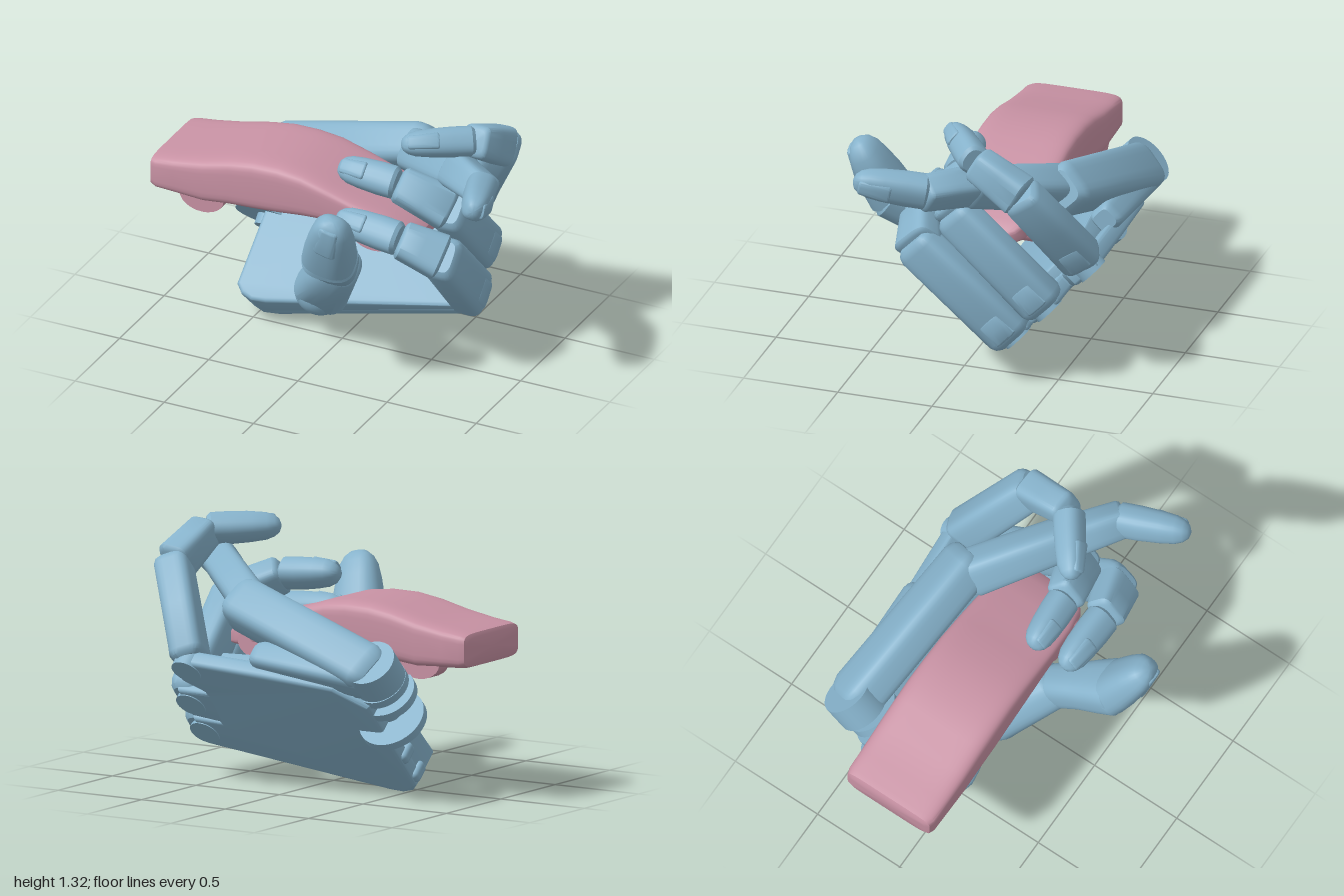
import * as THREE from 'three';
import { toCreasedNormals } from 'three/addons/utils/BufferGeometryUtils.js';
import { RoundedBoxGeometry } from 'three/addons/geometries/RoundedBoxGeometry.js';

const V = (x, y, z) => new THREE.Vector3(x, y, z);
const blue = new THREE.MeshStandardMaterial({ color: 0x86b2cb });
const pink = new THREE.MeshStandardMaterial({ color: 0xc892a4 });
const ACROSS = V(0, 0.725, -0.689); // direction across the palm

function part(parent, name, geometry, material = blue) {
  const mesh = new THREE.Mesh(geometry, material);
  mesh.name = name;
  parent.add(mesh);
  return mesh;
}

// Skin over superellipse rings {c, u, v}, with u x v along the path
function loft(rings, e, n = 28) {
  const pos = [], idx = [];
  const bend = k => Math.sign(k) * Math.abs(k) ** (2 / e);
  for (const { c, u, v } of rings)
    for (let j = 0; j < n; j++) {
      const a = (j + 0.5) / n * Math.PI * 2;
      const p = c.clone().addScaledVector(u, bend(Math.cos(a))).addScaledVector(v, bend(Math.sin(a)));
      pos.push(p.x, p.y, p.z);
    }
  const last = rings.length - 1, c0 = rings.length * n;
  pos.push(...rings[0].c.toArray(), ...rings[last].c.toArray());
  for (let j = 0; j < n; j++) {
    const k = (j + 1) % n;
    for (let i = 0; i < last; i++) {
      const a = i * n + j, b = i * n + k;
      idx.push(a, b, b + n, a, b + n, a + n);
    }
    idx.push(c0, k, j, c0 + 1, last * n + j, last * n + k);
  }
  const g = new THREE.BufferGeometry();
  g.setAttribute('position', new THREE.Float32BufferAttribute(pos, 3));
  g.setIndex(idx);
  return toCreasedNormals(g, 0.6);
}

const BLOCK = [[0, 0.72], [0.025, 0.9], [0.07, 1], [0.5, 1], [0.93, 1], [0.975, 0.9], [1, 0.72]];
const TIP = [[0, 0.8], [0.05, 1], [0.3, 1.03], [0.6, 0.99], [0.8, 0.9], [0.91, 0.72], [0.975, 0.46], [1, 0.16]];

// One finger bone from a to b; wa/ta and wb/tb are half width and half thickness
function bone(parent, name, a, b, [wa, ta, wb, tb], side = ACROSS, profile = BLOCK, e = 4) {
  const d = b.clone().sub(a).normalize();
  const u = side.clone().addScaledVector(d, -side.dot(d)).normalize();
  const v = d.clone().cross(u);
  const rings = profile.map(([s, k]) => ({
    c: a.clone().lerp(b, s),
    u: u.clone().multiplyScalar(k * (wa + (wb - wa) * s)),
    v: v.clone().multiplyScalar(k * (ta + (tb - ta) * s)),
  }));
  part(parent, name, loft(rings, e));
  return { v, d };
}

function fingertip(parent, a, b, size, side = ACROSS) {
  const { v } = bone(parent, 'fingertip', a, b, size, side, TIP, 2.6);
  const [, ta, wb, tb] = size;
  const n0 = a.clone().lerp(b, 0.5).addScaledVector(v, -(ta + tb) * 0.45);
  const n1 = a.clone().lerp(b, 0.93).addScaledVector(v, -tb * 0.58);
  bone(parent, 'nail', n0, n1, [wb * 0.62, 0.02, wb * 0.5, 0.02], side, BLOCK, 3);
}

function buildCar(parent) {
  const car = new THREE.Group();
  car.name = 'car';
  parent.add(car);
  // x, bottom, top, half width
  const stations = [
    [-1, 0.73, 0.86, 0.225], [-0.99, 0.71, 0.88, 0.25], [-0.96, 0.7, 0.887, 0.26], [-0.86, 0.695, 0.9, 0.262],
    [-0.7, 0.685, 0.93, 0.265], [-0.55, 0.7, 0.967, 0.265], [-0.42, 0.705, 0.988, 0.265], [-0.28, 0.715, 0.99, 0.262],
    [-0.15, 0.73, 0.975, 0.26], [0, 0.74, 0.93, 0.255], [0.12, 0.735, 0.89, 0.25], [0.28, 0.7, 0.85, 0.24],
    [0.4, 0.69, 0.8, 0.215], [0.45, 0.69, 0.77, 0.18], [0.47, 0.7, 0.75, 0.14],
  ];
  part(car, 'carBody', loft(stations.map(([x, lo, hi, w]) => ({
    c: V(x, (lo + hi) / 2, -0.075), u: V(0, (hi - lo) / 2, 0), v: V(0, 0, w),
  })), 6, 40), pink);
  for (const [x, y] of [[-0.71, 0.715], [0.25, 0.725]])
    for (const s of [1, -1]) {
      const wheel = part(car, 'wheel', new THREE.CylinderGeometry(0.085, 0.085, 0.09, 24), pink);
      wheel.rotation.x = Math.PI / 2;
      wheel.scale.x = 1.45;
      wheel.position.set(x, y, -0.075 + s * 0.19);
    }
}

// Palm in its own frame: x along the hand, y across it, z out of the palm
function buildPalm(parent) {
  const palm = new THREE.Group();
  palm.name = 'palm';
  palm.position.set(0, 0.015, -0.1);
  palm.rotation.x = -0.76;
  parent.add(palm);
  const outline = pts => new THREE.Shape(pts.map(p => new THREE.Vector2(...p)));
  const bevel = { bevelSize: 0.02, bevelThickness: 0.02, bevelSegments: 3 };

  // Back plate with slots between the knuckles
  const plate = new THREE.ExtrudeGeometry(outline([
    [-0.55, 0.04], [-0.52, 0.005], [-0.47, -0.012], [-0.4, -0.005], [0.58, 0.22], [0.58, 0.39], [0.42, 0.38], [0.42, 0.42],
    [0.57, 0.45], [0.57, 0.62], [0.4, 0.62], [0.4, 0.66], [0.5, 0.74], [0.48, 0.87], [0, 0.83], [-0.4, 0.78], [-0.55, 0.66],
  ]), { depth: 0.05, ...bevel });
  part(palm, 'backPlate', toCreasedNormals(plate.translate(0, 0, 0.02), 0.6));

  // Palm pad, thinner towards the fingers
  const pad = new THREE.ExtrudeGeometry(outline([
    [-0.55, 0.04], [-0.52, 0.005], [-0.47, -0.012], [-0.4, -0.005], [0.54, 0.215], [0.52, 0.38], [0.4, 0.4], [0.4, 0.6],
    [0.3, 0.78], [-0.35, 0.74], [-0.52, 0.64],
  ]), { depth: 0.14, ...bevel });
  pad.translate(0, 0, 0.06);
  const p = pad.attributes.position;
  for (let i = 0; i < p.count; i++)
    p.setZ(i, 0.04 + (p.getZ(i) - 0.04) * (0.82 - 0.5 * p.getX(i)));
  part(palm, 'palmPad', toCreasedNormals(pad, 0.6));

  // Rounded knuckle lugs
  for (const [x, y] of [[0.57, 0.305], [0.55, 0.535], [0.45, 0.82]]) {
    const lug = part(palm, 'knuckleLug', new THREE.CylinderGeometry(0.08, 0.08, 0.09, 24));
    lug.rotation.x = Math.PI / 2;
    lug.position.set(x, y, 0.04);
  }
  // Wrist hinge discs and lugs
  for (const [y, z, r] of [[0.45, 0.1, 0.175], [0.58, 0.16, 0.15], [0.67, 0.16, 0.14]])
    part(palm, 'wristDisc', new THREE.CylinderGeometry(r, r, 0.045, 40)).position.set(-0.575, y, z);
  part(palm, 'wristPin', new THREE.CylinderGeometry(0.06, 0.06, 0.4, 20)).position.set(-0.56, 0.57, 0.13);
  for (const y of [0.07, 0.22])
    part(palm, 'wristLug', new RoundedBoxGeometry(0.1, 0.07, 0.11, 3, 0.025)).position.set(-0.54, y, 0.07);
}

// Bones between base, middle joint, end joint and tip
function buildFinger(parent, name, [base, mid, end, tip], w, t) {
  const finger = new THREE.Group();
  finger.name = name;
  parent.add(finger);
  const { v, d } = bone(finger, 'lowerBone', base, mid.clone().lerp(base, -0.06), [w, t, w * 0.9, t]);
  // Link set into the outside of the knuckle
  const link = base.clone().addScaledVector(v, -t * 0.72);
  bone(finger, 'knuckleLink', link.clone().addScaledVector(d, 0.03), link.clone().addScaledVector(d, 0.17), [w * 0.6, t * 0.35, w * 0.6, t * 0.3]);
  bone(finger, 'middleBone', mid, end, [w * 0.95, t, w * 0.76, t * 0.85]);
  fingertip(finger, end, tip, [w * 0.7, t * 0.85, w * 0.63, t * 0.78]);
}

function buildThumb(parent) {
  const thumb = new THREE.Group();
  thumb.name = 'thumb';
  parent.add(thumb);
  const side = V(1, 0, 0);
  const ball = part(thumb, 'thumbBase', new THREE.SphereGeometry(0.135, 28, 20));
  ball.position.set(-0.12, 0.255, 0.0);
  // Lower bone narrows to a neck, then flares to the tip joint
  bone(thumb, 'lowerBone', V(-0.13, 0.23, -0.02), V(0.1, 0.56, 0.22), [0.145, 0.125, 0.11, 0.11], side, BLOCK, 2.6);
  const flare = [[0, 0.75], [0.12, 0.88], [0.4, 0.88], [0.7, 0.98], [0.92, 1.02], [1, 0.8]];
  bone(thumb, 'middleBone', V(0.07, 0.52, 0.18), V(0.19, 0.765, 0.53), [0.115, 0.12, 0.14, 0.115], side, flare, 2.8);
  fingertip(thumb, V(0.17, 0.72, 0.49), V(0.27, 1.05, 0.65), [0.14, 0.115, 0.1, 0.08], side);
}

// Long finger carried on a beam hinged at the wrist
function buildBeamFinger(parent) {
  const finger = new THREE.Group();
  finger.name = 'beamFinger';
  parent.add(finger);
  const hinge = part(finger, 'beamHinge', new THREE.CylinderGeometry(0.135, 0.135, 0.15, 32));
  hinge.rotation.x = -0.76;
  hinge.position.set(-0.6, 0.69, -0.545);
  bone(finger, 'beam', V(-0.62, 0.67, -0.565), V(0.3, 0.955, -0.44), [0.115, 0.13, 0.11, 0.125]);
  bone(finger, 'beamFoot', V(-0.6, 0.66, -0.57), V(0.08, 0.71, -0.6), [0.08, 0.1, 0.07, 0.07]);
  bone(finger, 'lowerBone', V(0.2, 0.92, -0.42), V(0.64, 1.07, -0.06), [0.115, 0.1, 0.1, 0.09]);
  bone(finger, 'middleBone', V(0.58, 1.06, -0.1), V(0.85, 1.1, 0.11), [0.1, 0.09, 0.085, 0.08]);
  fingertip(finger, V(0.82, 1.1, 0.08), V(0.95, 1.165, 0.435), [0.09, 0.08, 0.08, 0.068]);
}

export function createModel() {
  const model = new THREE.Group();
  model.name = 'handHoldingCar';
  buildCar(model);
  buildPalm(model);
  buildThumb(model);
  buildFinger(model, 'lowFinger', [V(0.59, 0.25, -0.3), V(0.66, 0.71, 0.19), V(0.45, 0.8, 0.255), V(0.09, 0.835, 0.25)], 0.125, 0.085);
  buildFinger(model, 'centreFinger', [V(0.57, 0.43, -0.46), V(0.61, 0.88, 0), V(0.35, 1.01, 0.08), V(0.03, 1.04, 0.1)], 0.12, 0.085);
  buildFinger(model, 'highFinger', [V(0.45, 0.655, -0.62), V(0.71, 1.09, -0.38), V(0.68, 1.235, -0.12), V(0.38, 1.25, 0.1)], 0.11, 0.09);
  buildBeamFinger(model);
  return model;
}
